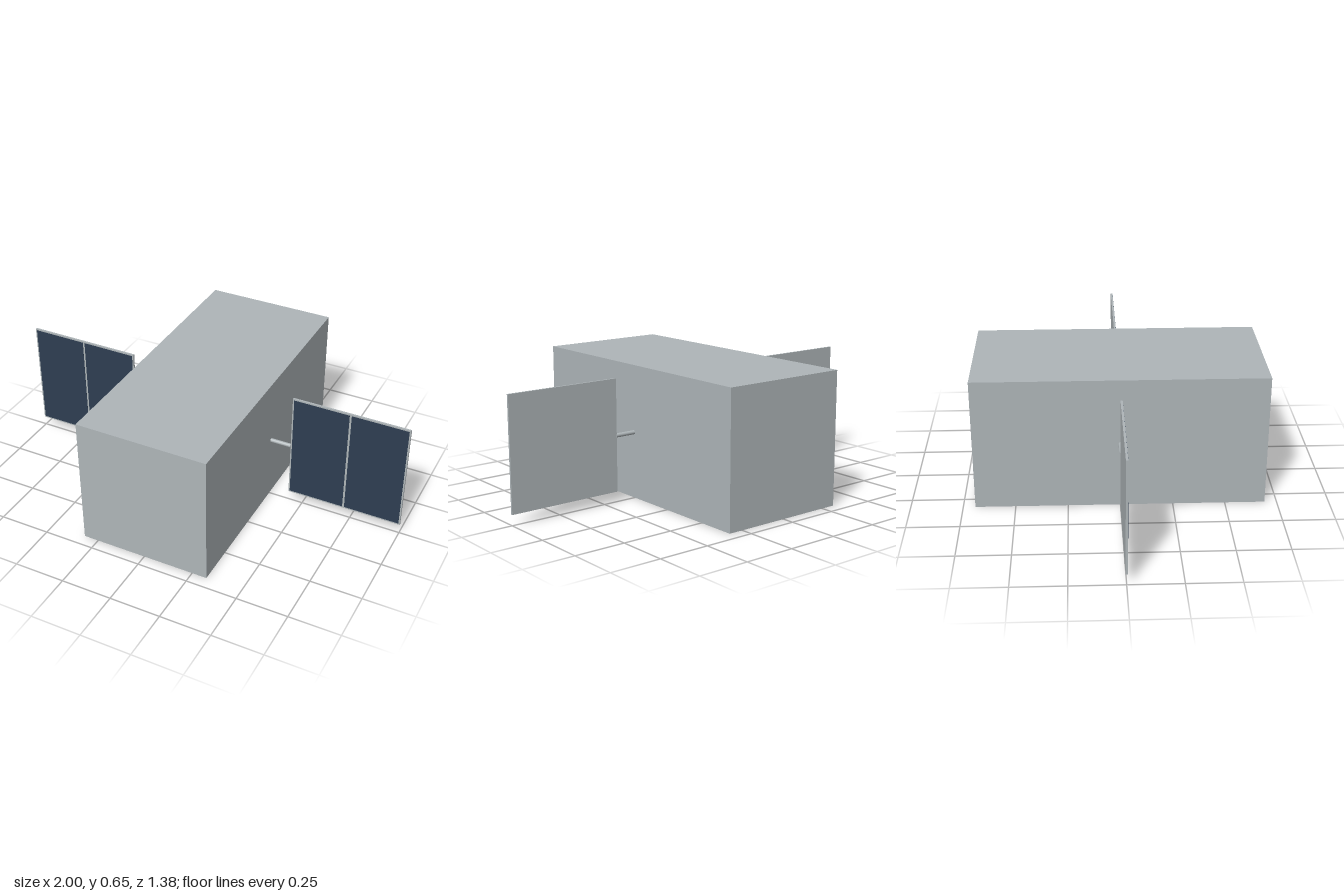
import * as THREE from 'three';

export function createModel() {
  const hullGrey = new THREE.MeshStandardMaterial({ color: 0xaeb5b8 });
  hullGrey.name = 'hullGrey';
  const cellBlue = new THREE.MeshStandardMaterial({ color: 0x2e3d51 });
  cellBlue.name = 'cellBlue';

  const model = new THREE.Group();
  model.name = 'satellite';

  const add = (parent, name, geometry, material, x, y, z) => {
    const mesh = new THREE.Mesh(geometry, material);
    mesh.name = name;
    mesh.position.set(x, y, z);
    parent.add(mesh);
    return mesh;
  };

  // Box body
  const midY = 0.324;
  add(model, 'body', new THREE.BoxGeometry(0.646, 0.648, 1.384), hullGrey, 0, midY, 0);

  // Solar wings on both sides
  const inner = 0.427, outer = 1, height = 0.546, thick = 0.01;
  const rim = 0.007, gap = 0.01;
  const width = outer - inner, centre = (outer + inner) / 2;
  const cellWidth = (width - 2 * rim - gap) / 2;
  const boomGeometry = new THREE.CylinderGeometry(0.01, 0.01, 0.11, 16).rotateZ(Math.PI / 2);
  const panelGeometry = new THREE.BoxGeometry(width, height, thick);
  const cellGeometry = new THREE.BoxGeometry(cellWidth, height - 2 * rim, 0.002);

  for (const [side, label] of [[1, 'left'], [-1, 'right']]) {
    const wing = new THREE.Group();
    wing.name = label + 'Wing';
    model.add(wing);
    add(wing, label + 'Boom', boomGeometry, hullGrey, side * 0.373, midY, 0);
    add(wing, label + 'Panel', panelGeometry, hullGrey, side * centre, midY, 0);
    // Two dark cells on the front face
    for (const s of [-1, 1]) {
      add(wing, label + 'SolarCell', cellGeometry, cellBlue,
        side * centre + s * (cellWidth + gap) / 2, midY, thick / 2);
    }
  }
  return model;
}
